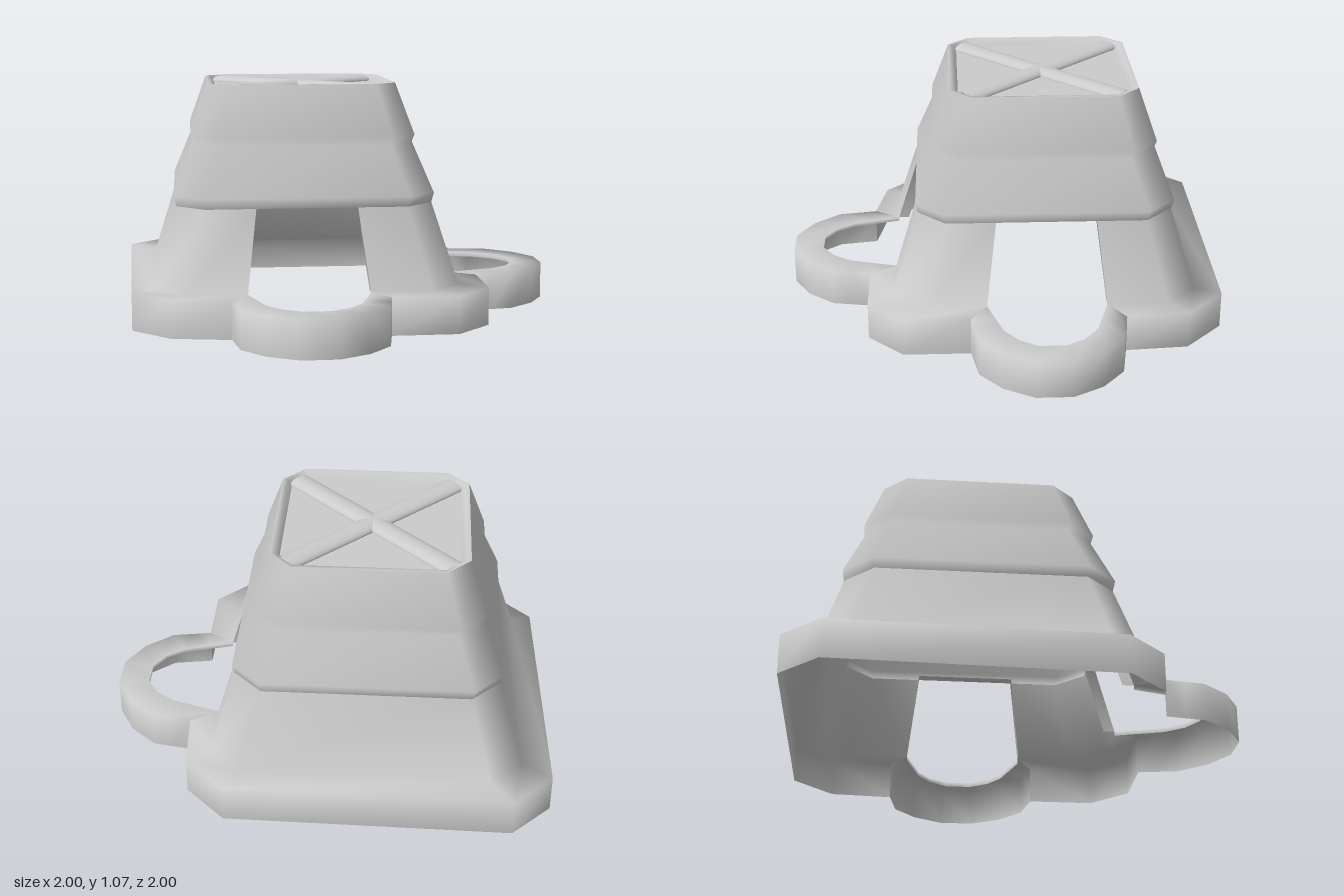
import * as THREE from 'three';

const C = -0.185; // tower axis, in both x and z
const LEDGE = 0.17; // height of the foot band and handles
const SILL = 0.53; // top of the two openings

const material = new THREE.MeshStandardMaterial({ color: 0xcccccc, side: THREE.DoubleSide });

// Square with cut corners, starting on the front side and running round by -x
function ring(h, c, y) {
  const k = h - c;
  return [[-k, h], [-h, k], [-h, -k], [-k, -h], [k, -h], [h, -k], [h, k], [k, h]]
    .map(([x, z]) => new THREE.Vector3(C + x, y, C + z));
}

// Smooth surface through rows of points
function loft(name, rows, closed = false) {
  const n = rows[0].length;
  const index = [];
  for (let r = 0; r < rows.length - 1; r++) {
    for (let i = 0; i < (closed ? n : n - 1); i++) {
      const a = r * n + i, b = r * n + (i + 1) % n;
      index.push(a, a + n, b, b, a + n, b + n);
    }
  }
  const geometry = new THREE.BufferGeometry().setFromPoints(rows.flat());
  geometry.setIndex(index);
  geometry.computeVertexNormals();
  const mesh = new THREE.Mesh(geometry, material);
  mesh.name = name;
  return mesh;
}

const at = (points, y) => points.map(([x, z]) => new THREE.Vector3(x, y, z));
const swap = (p) => new THREE.Vector3(p.z, p.y, p.x); // mirror front side to +x side

// Edges of the front opening at its foot and its top
const jamb = (side, y) => y === LEDGE
  ? new THREE.Vector3(C + side * 0.27, LEDGE, C + 0.685)
  : new THREE.Vector3(C + side * 0.225, SILL, C + 0.575);

export function createModel() {
  const group = new THREE.Group();
  const foot = ring(0.685, 0.14, LEDGE);
  const sill = ring(0.575, 0.125, SILL);

  // Lower walls with foot band: the long run round the back, and the corner post
  const runs = [
    {
      name: 'lowerWall',
      outline: [[-0.53, 0.62], [-0.79, 0.57], [-0.96, 0.4], [-1, -0.83],
        [-0.83, -1], [0.42, -0.985], [0.6, -0.81], [0.62, -0.53]],
      wall: (corners, y) => [jamb(-1, y), ...corners.slice(0, 6), swap(jamb(-1, y))],
    },
    {
      name: 'cornerPost',
      outline: [[0.62, 0.16], [0.62, 0.46], [0.46, 0.62], [0.16, 0.62]],
      wall: (corners, y) => [swap(jamb(1, y)), ...corners.slice(6), jamb(1, y)],
    },
  ];
  for (const { name, outline, wall } of runs) {
    group.add(loft(name, [at(outline, 0), at(outline, LEDGE), wall(foot, LEDGE), wall(sill, SILL)]));
  }

  // Upper tower with its two stepped bands
  group.add(loft('upperTower', [
    sill, ring(0.585, 0.125, 0.575), ring(0.495, 0.115, 0.8),
    ring(0.505, 0.115, 0.835), ring(0.425, 0.1, 1.065),
  ], true));

  // Handles, open below, and the shallow frames of the openings
  const outer = [[-0.53, 0.62], [-0.515, 0.71], [-0.5, 0.8], [-0.4, 0.92], [-0.265, 0.997],
    [-0.105, 0.997], [0.03, 0.92], [0.13, 0.8], [0.145, 0.71], [0.16, 0.62]];
  const inner = [[-0.455, 0.5], [-0.42, 0.62], [-0.39, 0.72], [-0.33, 0.805], [-0.245, 0.858],
    [-0.125, 0.858], [-0.04, 0.805], [0.02, 0.72], [0.05, 0.62], [0.085, 0.5]];
  const handle = [at(outer, 0), at(outer, LEDGE), at(inner, LEDGE), at(inner, LEDGE - 0.02)];
  const edge = [jamb(-1, LEDGE), jamb(-1, SILL), jamb(1, SILL), jamb(1, LEDGE)];
  const back = edge.map((p) => p.clone().add(new THREE.Vector3(0, 0, -0.05)));
  group.add(loft('frontHandle', handle), loft('frontOpeningFrame', [edge, back]));
  group.add(
    loft('leftHandle', handle.map((row) => row.map(swap))),
    loft('leftOpeningFrame', [edge, back].map((row) => row.map(swap))),
  );

  // Roof: raised rim round a sunken floor
  const floorRing = ring(0.385, 0.07, 1.035);
  group.add(loft('roofRim', [
    ring(0.425, 0.1, 1.065), ring(0.405, 0.085, 1.065), floorRing,
  ], true));
  const floor = new THREE.Mesh(
    new THREE.ShapeGeometry(new THREE.Shape(floorRing.map((p) => new THREE.Vector2(p.x, -p.z)))),
    material,
  );
  floor.name = 'roofFloor';
  floor.rotation.x = -Math.PI / 2;
  floor.position.y = 1.035;
  group.add(floor);

  // Crossed roof beams, rounded on top
  for (const turn of [-1, 1]) {
    const geometry = new THREE.CylinderGeometry(0.055, 0.055, 1.0, 10, 1, true, -Math.PI / 2, Math.PI);
    geometry.rotateX(-Math.PI / 2).scale(1, 0.5, 1);
    const beam = new THREE.Mesh(geometry, material);
    beam.name = 'roofBeam';
    beam.position.set(C, 1.035, C);
    beam.rotation.y = turn * Math.PI / 4;
    group.add(beam);
  }

  return group;
}
